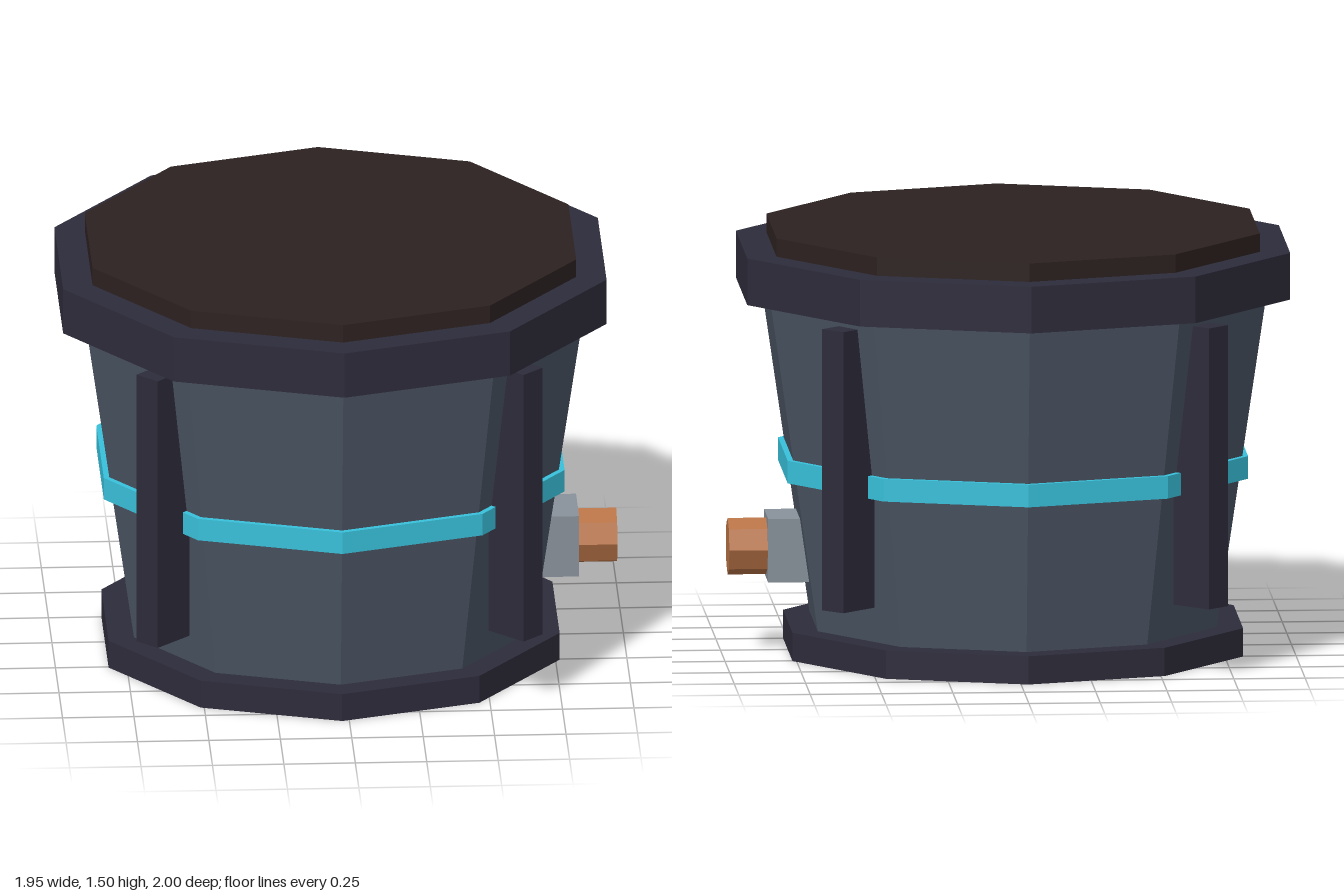
import * as THREE from 'three';

const mat = (name, color) => {
  const m = new THREE.MeshStandardMaterial({ color, flatShading: true });
  m.name = name;
  return m;
};

export function createModel() {
  const slate = mat('slate', 0x4a5463);
  const darkMetal = mat('dark metal', 0x2d2b3a);
  const lidBrown = mat('dark brown', 0x2c2120);
  const cyan = mat('cyan', 0x38c0da);
  const steel = mat('steel grey', 0x88919a);
  const copper = mat('copper', 0xb87346);

  const model = new THREE.Group();
  model.name = 'barrel';
  model.position.x = -0.025; // the tap makes the barrel sit slightly off centre
  const root = new THREE.Group();
  root.add(model);

  const add = (name, geometry, material, x = 0, y = 0, z = 0) => {
    const mesh = new THREE.Mesh(geometry, material);
    mesh.name = name;
    mesh.position.set(x, y, z);
    model.add(mesh);
    return mesh;
  };

  // Ten-sided drum section between two heights
  const drum = (name, rTop, rBottom, y0, y1, material) =>
    add(name, new THREE.CylinderGeometry(rTop, rBottom, y1 - y0, 10), material, 0, (y0 + y1) / 2);

  drum('base', 0.83, 0.83, 0, 0.1, darkMetal);
  drum('body', 0.912, 0.735, 0.1, 1.27, slate);
  drum('band', 0.848, 0.848, 0.63, 0.71, cyan);
  drum('rim', 1, 1, 1.27, 1.435, darkMetal);
  drum('lid', 0.89, 0.89, 1.435, 1.5, lidBrown);

  // Upright struts on the four diagonals
  for (let i = 0; i < 4; i++) {
    const a = Math.PI / 4 + (i * Math.PI) / 2;
    const r = 0.873;
    const strut = add('strut', new THREE.BoxGeometry(0.1, 0.995, 0.165), darkMetal,
      Math.sin(a) * r, 0.7375, Math.cos(a) * r);
    strut.rotation.y = a;
  }

  // Tap on the left side: square block and octagonal spout
  add('tapBlock', new THREE.BoxGeometry(0.225, 0.225, 0.225), steel, 0.7525, 0.368, 0);
  const spout = add('tapSpout', new THREE.CylinderGeometry(0.1, 0.1, 0.16, 8), copper, 0.92, 0.368, 0);
  spout.rotation.z = -Math.PI / 2;

  return root;
}
